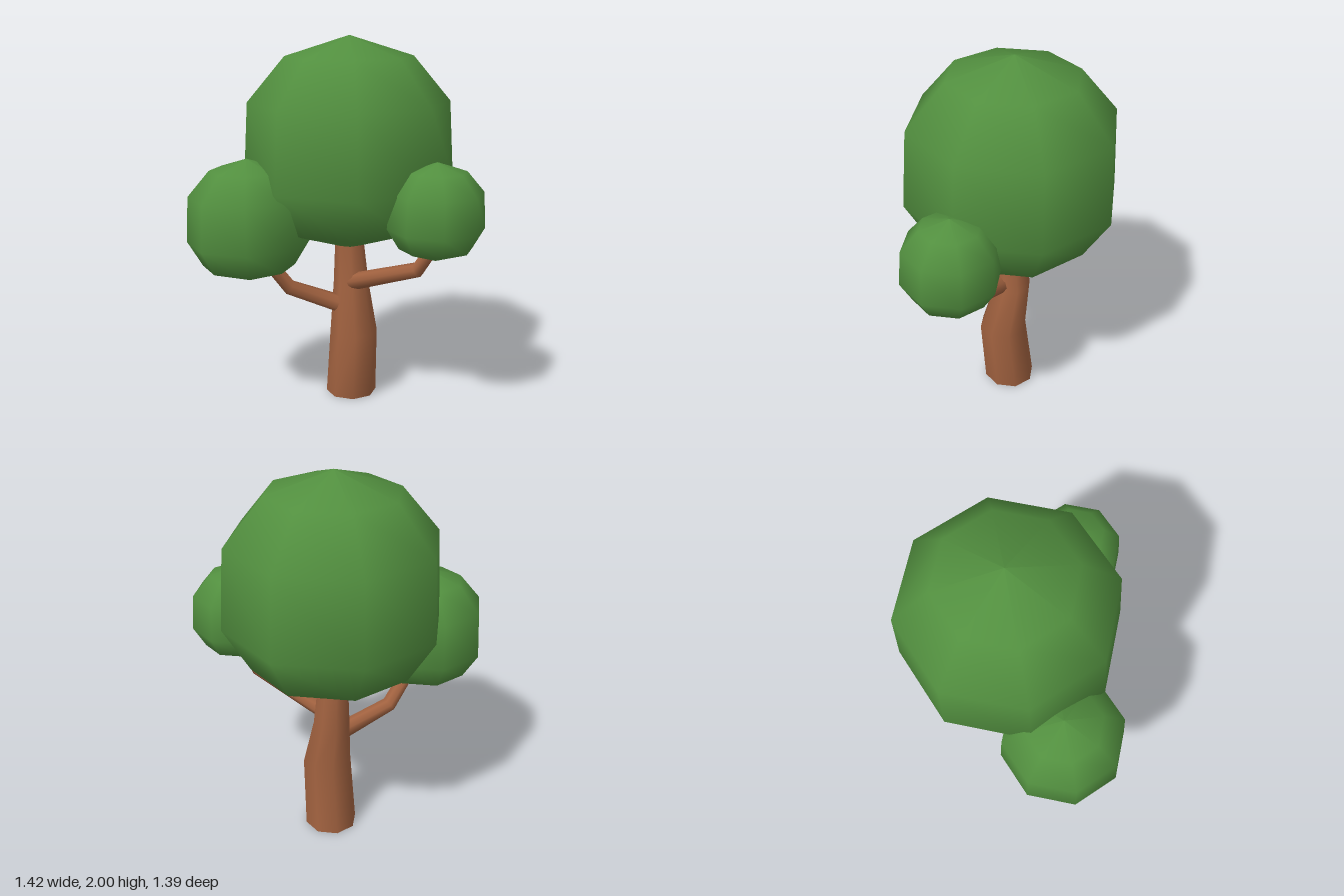
import * as THREE from 'three';

const SIDES = 8;

// Smooth eight-sided limb through [x, y, z, radius] stations, closed at both ends.
// A level limb keeps its rings horizontal.
function limb(stations, level = false) {
  const centres = stations.map(([x, y, z]) => new THREE.Vector3(x, y, z));
  const last = centres.length - 1;
  const up = new THREE.Vector3(0, 1, 0);
  const positions = [];
  const index = [];

  const addRing = (i) => {
    const before = centres[Math.max(i - 1, 0)];
    const after = centres[Math.min(i + 1, last)];
    const t = level ? up.clone() : after.clone().sub(before).normalize();
    const u = new THREE.Vector3(1, 0, 0).addScaledVector(t, -t.x).normalize();
    const v = t.clone().cross(u);
    for (let j = 0; j < SIDES; j++) {
      const a = (j / SIDES) * Math.PI * 2;
      const p = centres[i].clone()
        .addScaledVector(u, Math.cos(a) * stations[i][3])
        .addScaledVector(v, Math.sin(a) * stations[i][3]);
      positions.push(p.x, p.y, p.z);
    }
  };

  // Side wall
  for (let i = 0; i <= last; i++) addRing(i);
  for (let i = 0; i < last; i++) {
    for (let j = 0; j < SIDES; j++) {
      const k = (j + 1) % SIDES;
      const a = i * SIDES + j, b = i * SIDES + k;
      index.push(a, b, b + SIDES, a, b + SIDES, a + SIDES);
    }
  }

  // End caps on their own vertices, so the rims stay sharp
  for (const i of [0, last]) {
    const start = positions.length / 3;
    addRing(i);
    for (let j = 1; j < SIDES - 1; j++) {
      if (i === 0) index.push(start, start + j + 1, start + j);
      else index.push(start, start + j, start + j + 1);
    }
  }

  const geometry = new THREE.BufferGeometry();
  geometry.setAttribute('position', new THREE.Float32BufferAttribute(positions, 3));
  geometry.setIndex(index);
  geometry.computeVertexNormals();
  return geometry;
}

export function createModel() {
  const bark = new THREE.MeshStandardMaterial({ color: 0xa0613f });
  bark.name = 'bark';
  const leaves = new THREE.MeshStandardMaterial({ color: 0x528f3f });
  leaves.name = 'leaves';

  const tree = new THREE.Group();
  tree.name = 'tree';
  const add = (name, geometry, material) => {
    const mesh = new THREE.Mesh(geometry, material);
    mesh.name = name;
    tree.add(mesh);
    return mesh;
  };

  // Crooked trunk, running up into the crown
  add('trunk', limb([
    [-0.12, 0, -0.145, 0.14],
    [-0.08, 0.38, -0.12, 0.13],
    [-0.125, 0.65, -0.15, 0.097],
    [-0.125, 1.0, -0.13, 0.07],
  ], true), bark);

  // Two bent branches
  add('leftBranch', limb([
    [-0.085, 0.665, -0.115, 0.048],
    [0.35, 0.82, -0.13, 0.04],
    [0.46, 0.98, -0.13, 0.036],
  ]), bark);
  add('rightBranch', limb([
    [-0.145, 0.545, -0.055, 0.048],
    [-0.31, 0.65, 0.15, 0.042],
    [-0.38, 0.86, 0.29, 0.038],
  ]), bark);

  // One foliage profile, a little heavier below, scaled for every clump
  const profile = [
    [0, -0.575], [0.425, -0.425], [0.565, -0.19],
    [0.54, 0.23], [0.34, 0.468], [0, 0.575],
  ].map(([r, y]) => new THREE.Vector2(r, y));
  const foliage = new THREE.LatheGeometry(profile, SIDES);

  const clumps = [
    ['crown', -0.12, 1.425, -0.13, 1],
    ['leftFoliage', 0.46, 1.145, -0.13, 0.445],
    ['rightFoliage', -0.39, 1.057, 0.37, 0.572],
  ];
  for (const [name, x, y, z, size] of clumps) {
    const clump = add(name, foliage, leaves);
    clump.position.set(x, y, z);
    clump.scale.setScalar(size);
  }

  return tree;
}
